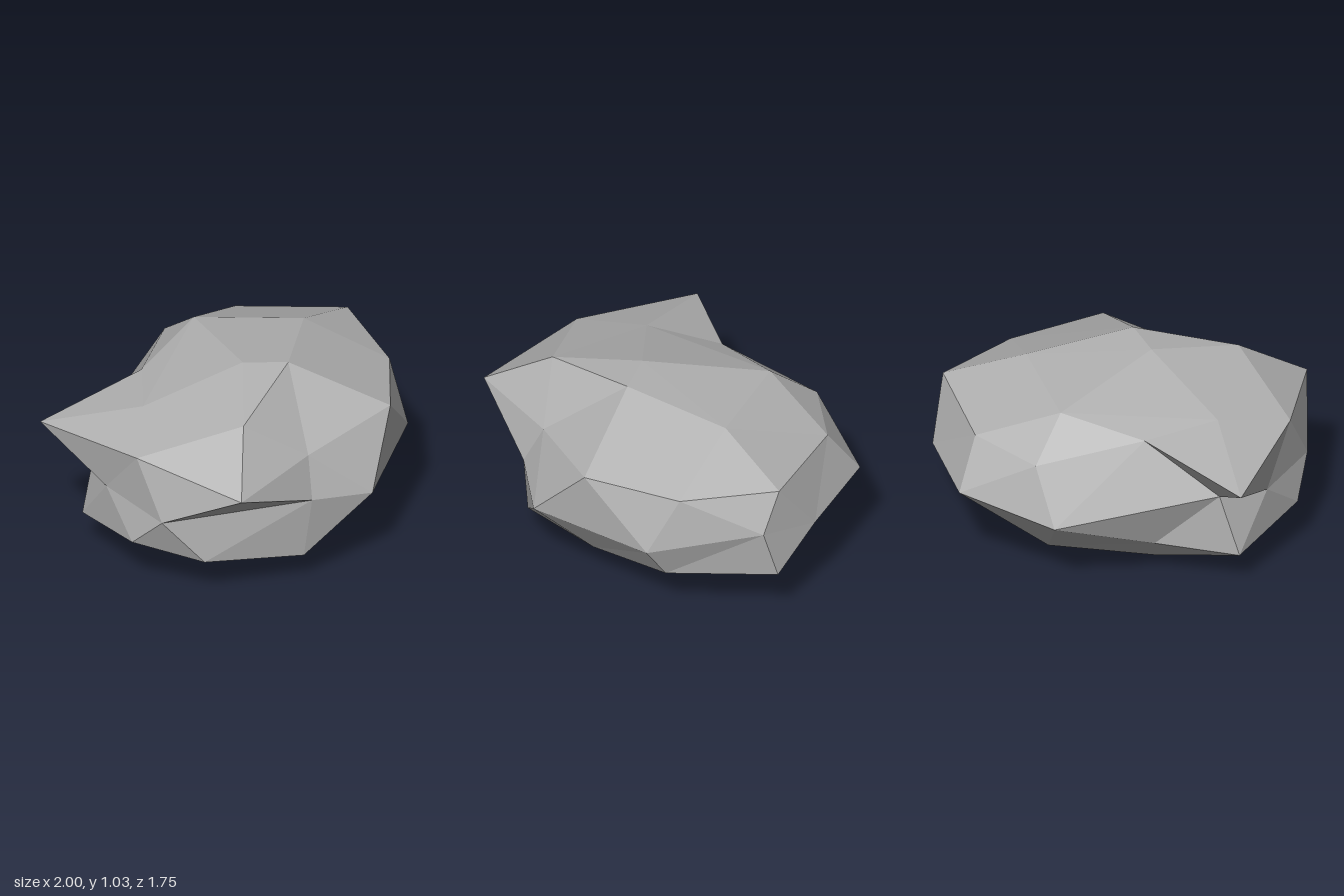
import * as THREE from 'three';

// Horizontal cross-sections of the boulder, from the top down.
// Each runs around the y axis from +x towards +z.
const crown = [-0.17, 1.035, 0.1];
const shoulder = [
  [0.49, 0.96, 0], [-0.02, 1.035, 0.29], [-0.565, 0.94, 0.41],
  [-0.62, 0.86, -0.22], [0.17, 0.94, -0.49],
];
const upper = [
  [0.935, 0.8, -0.05], [0.69, 0.77, 0.42], [0.27, 0.8, 0.75], [-0.3, 0.72, 0.64],
  [-0.88, 0.7, 0.64], [-0.96, 0.78, 0], [-0.88, 0.71, -0.71], [-0.29, 0.835, -0.485],
  [0.24, 0.745, -0.74], [0.62, 0.77, -0.56],
];
const middle = [
  [0.975, 0.585, 0.075], [0.63, 0.46, 0.59], [-0.04, 0.45, 0.87], [-0.37, 0.505, 0.72],
  [-1, 0.47, 0.2], [-0.9, 0.49, -0.25], [-0.7, 0.55, -0.48], [0.1, 0.45, -0.875],
  [0.66, 0.51, -0.74], [0.93, 0.5, -0.28],
];
const lower = [
  [1, 0.31, 0], [0.63, 0.28, 0.47], [0.14, 0.205, 0.61], [-0.39, 0.16, 0.68],
  [-0.85, 0.22, 0.37], [-1, 0.28, 0], [-0.81, 0.2, -0.48], [-0.36, 0.24, -0.54],
  [0.21, 0.165, -0.59], [0.73, 0.335, -0.3],
];
const foot = [
  [0.27, 0.13, 0.17], [-0.25, 0.11, 0.47], [-0.52, 0.1, 0.03],
  [-0.31, 0.05, -0.36], [0.36, 0.075, -0.1],
];
const base = [-0.05, 0, 0.11];

function boulderGeometry() {
  const positions = [];
  const face = (a, b, c) => positions.push(...a, ...b, ...c);
  const at = (ring, i) => ring[i % ring.length];

  // Five-sided caps, widening to ten-sided rings
  for (let k = 0; k < 5; k++) {
    const j = 2 * k;
    const s0 = shoulder[k], s1 = at(shoulder, k + 1);
    face(crown, s1, s0);
    face(s0, s1, upper[j + 1]);
    face(s0, upper[j + 1], upper[j]);
    face(s1, at(upper, j + 2), upper[j + 1]);

    const f0 = foot[k], f1 = at(foot, k + 1);
    face(base, f0, f1);
    face(f0, at(lower, j + 2), f1);
    face(f0, lower[j], lower[j + 1]);
    face(f0, lower[j + 1], at(lower, j + 2));
  }

  // Zig-zag bands around the sides
  for (let j = 0; j < 10; j++) {
    face(upper[j], at(upper, j + 1), middle[j]);
    face(at(upper, j + 1), at(middle, j + 1), middle[j]);
    face(middle[j], at(middle, j + 1), at(lower, j + 1));
    face(lower[j], middle[j], at(lower, j + 1));
  }

  const geometry = new THREE.BufferGeometry();
  geometry.setAttribute('position', new THREE.Float32BufferAttribute(positions, 3));
  geometry.computeVertexNormals();
  return geometry;
}

export function createModel() {
  const stone = new THREE.MeshStandardMaterial({ color: 0xb0b0b0 });
  stone.name = 'grey stone';
  stone.flatShading = true;

  const boulder = new THREE.Mesh(boulderGeometry(), stone);
  boulder.name = 'boulder';

  const model = new THREE.Group();
  model.name = 'rock';
  model.add(boulder);
  return model;
}
